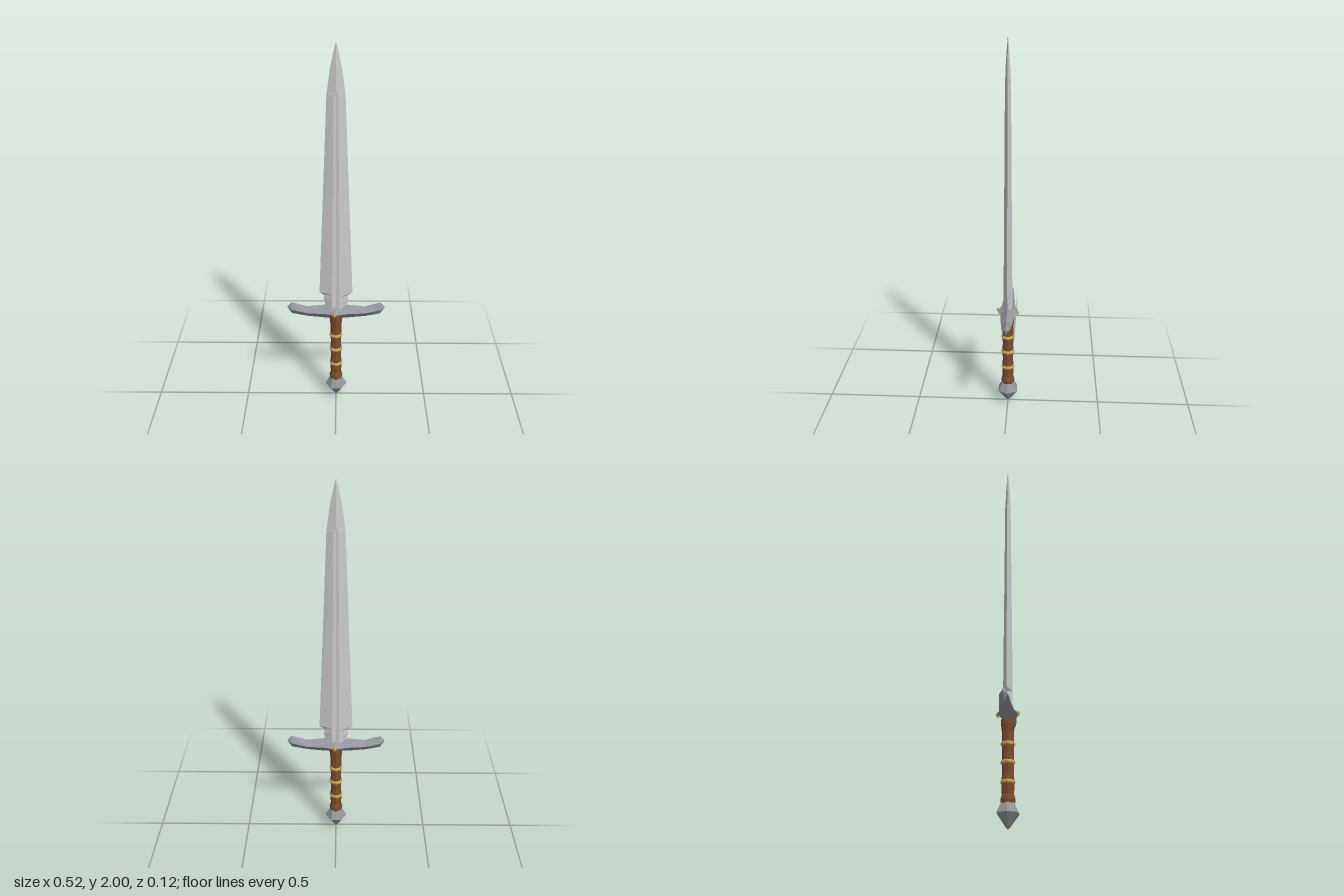
import * as THREE from 'three';

const paint = (color) => new THREE.MeshStandardMaterial({ color, flatShading: true });
const steel = paint(0xcccccc);
const iron = paint(0x96979e);
const wood = paint(0x7d4d2c);
const brass = paint(0xc9a750);

function add(group, name, geometry, material) {
  const mesh = new THREE.Mesh(geometry, material);
  mesh.name = name;
  group.add(mesh);
  return mesh;
}

// Skin over equal-sized rings of [x, y, z], each anticlockwise about the loft axis, with end caps
function loft(rings) {
  const pos = [];
  const n = rings[0].length;
  const tri = (a, b, c) => pos.push(...a, ...b, ...c);
  for (let r = 0; r < rings.length - 1; r++) {
    const a = rings[r], b = rings[r + 1];
    for (let i = 0; i < n; i++) {
      const j = (i + 1) % n;
      tri(a[i], a[j], b[j]);
      tri(a[i], b[j], b[i]);
    }
  }
  const first = rings[0], last = rings[rings.length - 1];
  for (let i = 1; i < n - 1; i++) {
    tri(first[0], first[i + 1], first[i]);
    tri(last[0], last[i], last[i + 1]);
  }
  const geometry = new THREE.BufferGeometry();
  geometry.setAttribute('position', new THREE.Float32BufferAttribute(pos, 3));
  geometry.computeVertexNormals();
  return geometry;
}

// Faceted turned part from [radius, y] pairs, with a corner on the x axis
function turned(profile, sides) {
  const points = profile.map(([r, y]) => new THREE.Vector2(r, y));
  return new THREE.LatheGeometry(points, sides, Math.PI / 2);
}

export function createModel() {
  const sword = new THREE.Group();
  sword.name = 'sword';

  // Blade: y, half width, shoulder thickness, fuller half width, centre thickness
  const sections = [
    [0.56, 0.057, 0.022, 0.02, 0.017],
    [0.60, 0.058, 0.022, 0.02, 0.017],
    [0.63, 0.066, 0.022, 0.02, 0.017],
    [0.652, 0.062, 0.022, 0.02, 0.017],
    [0.67, 0.087, 0.022, 0.02, 0.017],
    [0.69, 0.087, 0.022, 0.02, 0.017],
    [1.75, 0.045, 0.014, 0.012, 0.011],
    [1.765, 0.043, 0.011, 0.011, 0.0145],
    [1.87, 0.029, 0.007, 0.008, 0.01],
    [1.95, 0.0125, 0.0035, 0.003, 0.0045],
    [2.0, 0, 0, 0, 0],
  ];
  const blade = sections.map(([y, w, t, f, c]) => [
    [0, y, c], [f, y, t], [w, y, 0], [f, y, -t],
    [0, y, -c], [-f, y, -t], [-w, y, 0], [-f, y, t],
  ]);
  add(sword, 'blade', loft(blade), steel);

  // Crossguard, half of it: x, top, ridge height, bottom, half depth
  const half = [
    [0, 0.598, 0.557, 0.512, 0.055],
    [0.058, 0.594, 0.556, 0.512, 0.037],
    [0.155, 0.583, 0.556, 0.522, 0.029],
    [0.238, 0.608, 0.573, 0.539, 0.021],
    [0.262, 0.582, 0.58, 0.578, 0.001],
  ];
  const mirrored = half.slice(1).reverse().map(([x, ...rest]) => [-x, ...rest]);
  const guard = [...mirrored, ...half].map(([x, top, mid, bottom, d]) => [
    [x, top, 0], [x, mid, d], [x, bottom, 0], [x, mid, -d],
  ]);
  add(sword, 'crossguard', loft(guard), iron);

  // Small cut studs on the front and back of the guard
  for (const s of [1, -1]) {
    const stud = add(sword, s > 0 ? 'frontStud' : 'backStud', new THREE.OctahedronGeometry(1), brass);
    stud.scale.set(0.014, 0.02, 0.012);
    stud.position.set(-0.007 * s, 0.557, 0.05 * s);
    stud.rotation.y = s > 0 ? -0.35 : Math.PI - 0.35;
  }

  // Wooden grip with a flared top and a collar above the pommel
  const grip = [
    [0, 0.115], [0.033, 0.115], [0.036, 0.135], [0.033, 0.15], [0.029, 0.16],
    [0.031, 0.22], [0.028, 0.265], [0.03, 0.315], [0.028, 0.36], [0.03, 0.405],
    [0.029, 0.46], [0.034, 0.505], [0.034, 0.53], [0, 0.53],
  ];
  add(sword, 'grip', turned(grip, 8), wood);

  // Brass bands round the grip
  [0.22, 0.315, 0.405].forEach((y) => {
    const band = [[0.028, y - 0.011], [0.034, y - 0.007], [0.036, y], [0.034, y + 0.007], [0.028, y + 0.011]];
    add(sword, 'gripBand', turned(band, 8), brass);
  });

  // Faceted pommel
  const pommel = [[0, 0], [0.012, 0.01], [0.059, 0.073], [0.054, 0.085], [0.03, 0.13], [0, 0.13]];
  add(sword, 'pommel', turned(pommel, 6), iron);

  return sword;
}
